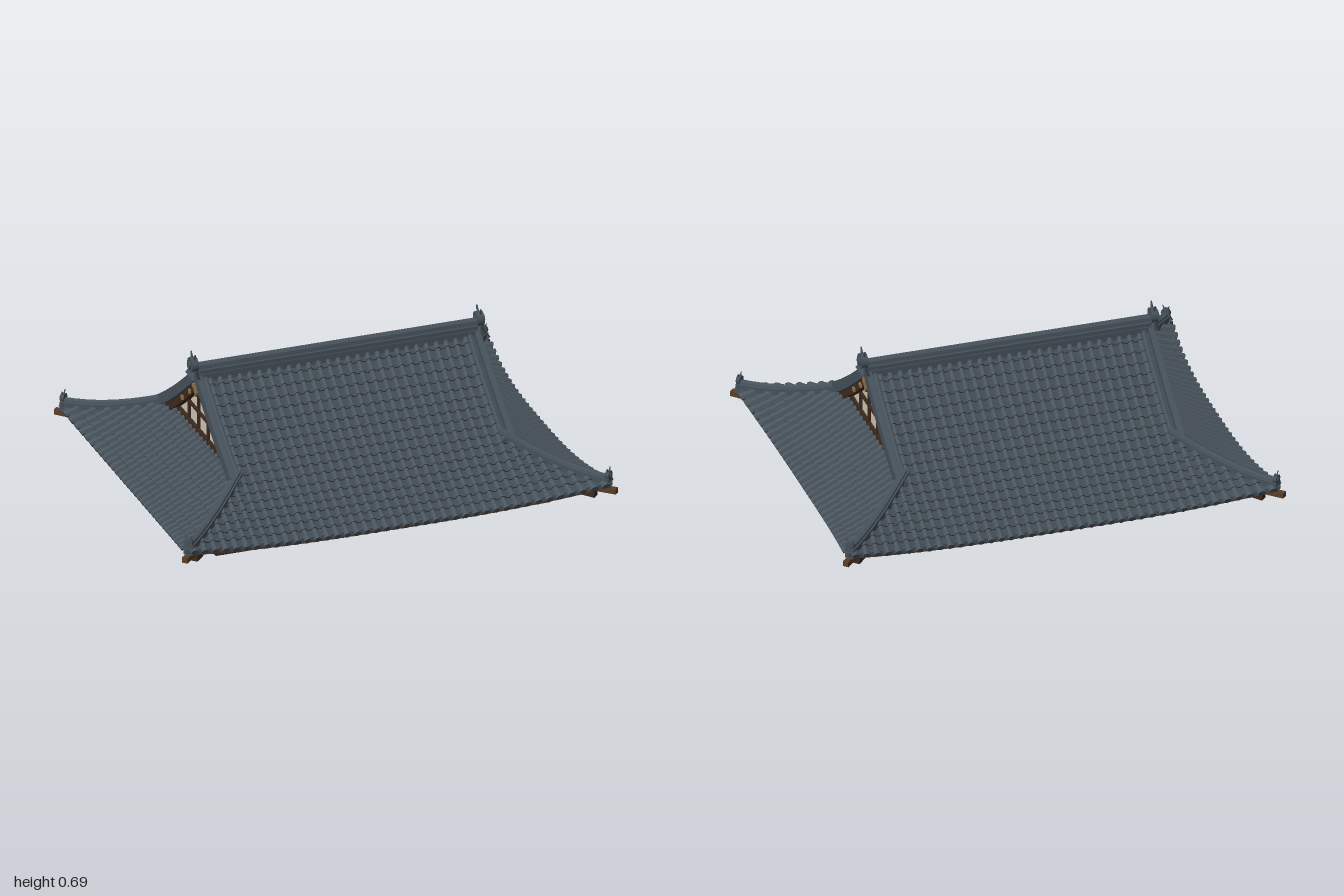
import * as THREE from 'three';
import { mergeGeometries } from 'three/addons/utils/BufferGeometryUtils.js';

const V = (x, y, z) => new THREE.Vector3(x, y, z);
const A = 0.93, B = 0.738;            // half width and half depth of the eaves
const SKIRT = 0.35, VERGE = 0.64;     // inset of the gable wall, gable edge in x
const height = d => 0.088 + 0.48 * d + 0.235 * d * d; // concave roof slope

const mat = (name, color, extra = {}) => new THREE.MeshStandardMaterial({ name, color, ...extra });

// Four roof faces: run along the eave (s), inset up the slope (d)
const faces = [0, 1, 2, 3].map(k => ({
  angle: k * Math.PI / 2, half: k % 2 ? A : B, wide: k % 2 ? B : A, side: k % 2 === 1,
}));

// Point on a roof face, raised by h, with the corners swept up and out
function onRoof(f, s, d, h = 0) {
  const o = f.half - d, c = Math.cos(f.angle), n = Math.sin(f.angle);
  const x = s * c + o * n, z = -s * n + o * c;
  const q = Math.pow(Math.abs(x * z) / (A * B), 3);
  return V(x + Math.sign(x) * 0.045 * q + 0.45 * h * n, height(d) + 0.06 * q + 0.88 * h,
    z + Math.sign(z) * 0.045 * q + 0.45 * h * c);
}
const topInset = (f, s) => f.side ? Math.min(SKIRT, f.wide - Math.abs(s))
  : Math.abs(s) <= 0.62 ? B : A - Math.abs(s);

// Skin over rows of points, flat shaded
function loft(rows) {
  const n = rows[0].length, pos = rows.flat().flatMap(p => [p.x, p.y, p.z]), index = [];
  for (let j = 0; j < rows.length - 1; j++) {
    for (let i = 0; i < n - 1; i++) {
      const a = j * n + i, b = a + 1, c = b + n, d = a + n;
      index.push(a, b, c, a, c, d);
    }
  }
  const g = new THREE.BufferGeometry();
  g.setAttribute('position', new THREE.Float32BufferAttribute(pos, 3));
  g.setIndex(index);
  const flat = g.toNonIndexed();
  flat.computeVertexNormals();
  return flat;
}

// Closed profile (left, over the top, right) carried along a path, with end caps
function sweep(path, profile) {
  const ring = [...profile, profile[0]];
  const rows = path.map((p, k) => {
    const dir = path[Math.min(k + 1, path.length - 1)].clone().sub(path[Math.max(k - 1, 0)]);
    const right = dir.cross(V(0, 1, 0)).normalize();
    return ring.map(([u, v]) => p.clone().addScaledVector(right, u).add(V(0, v, 0)));
  });
  const cap = r => {
    const m = r.slice(1).reduce((t, p) => t.add(p), V(0, 0, 0)).divideScalar(r.length - 1);
    return r.map(() => m);
  };
  return loft([cap(rows[0]), ...rows, cap(rows[rows.length - 1])]);
}
const rect = (w, low, high) => [[-w / 2, low], [-w / 2, high], [w / 2, high], [w / 2, low]];
const ridgeProfile = (w, h) => [[-w / 2, -0.02], [-w / 2, h * 0.6], [-w * 0.36, h * 0.62], [-w * 0.3, h * 0.85],
  [0, h], [w * 0.3, h * 0.85], [w * 0.36, h * 0.62], [w / 2, h * 0.6], [w / 2, -0.02]];
const steps = (n, a, b) => Array.from({ length: n + 1 }, (_, i) => a + (b - a) * i / n);
const box = (w, h, d, x, y, z, turn = 0) =>
  new THREE.BoxGeometry(w, h, d).translate(x, y, z).rotateY(turn).toNonIndexed().deleteAttribute('uv');

// Row of overlapping round cover tiles ending in a disc at the eave
function coverRow(f, s, top, out) {
  const n = Math.max(1, Math.round(top / 0.041)), rows = [];
  const arc = (r, d, lift) => steps(4, Math.PI, 0).map(t =>
    onRoof(f, s + Math.cos(t) * r, d, Math.sin(t) * r * 1.15 + lift));
  for (let k = 0; k < n; k++) {
    rows.push(arc(0.0145, top * k / n, 0.005), arc(0.0115, top * (k + 1) / n, 0.003));
  }
  out.push(loft(rows));
  const disc = (r, d) => steps(8, Math.PI, -Math.PI).map(t =>
    onRoof(f, s + Math.cos(t) * r, d, Math.sin(t) * r + 0.004));
  out.push(loft([disc(0, -0.012), disc(0.0155, -0.012), disc(0.0155, 0.012)]));
}

// Ridge-end ornament facing +x: flared foot, round face, two horns
function ornament(size, x, y, z, turn) {
  const parts = [
    new THREE.CylinderGeometry(0.034, 0.034, 0.03, 14).rotateZ(Math.PI / 2).translate(0, 0.045, 0),
    new THREE.CylinderGeometry(0.017, 0.017, 0.01, 10).rotateZ(Math.PI / 2).translate(0.018, 0.045, 0),
    new THREE.CylinderGeometry(0.035, 0.07, 0.035, 4, 1, false, Math.PI / 4).scale(0.35, 1, 1).translate(0, 0.008, 0),
  ];
  for (const m of [-1, 1]) {
    parts.push(new THREE.CylinderGeometry(0.003, 0.006, 0.032, 6).rotateX(m * 0.4).translate(0, 0.085, m * 0.02));
  }
  return mergeGeometries(parts.map(p => p.toNonIndexed())).scale(size, size, size).rotateY(turn).translate(x, y, z);
}

export function createModel() {
  const group = new THREE.Group();
  const panTile = mat('flat tile slate', 0x414b53, { side: THREE.DoubleSide });
  const coverTile = mat('round tile slate', 0x4a555e);
  const ridgeTile = mat('ridge slate', 0x46515a);
  const darkWood = mat('dark wood', 0x3d2a1e);
  const brownWood = mat('brown wood', 0x5a3e28);
  const tanWood = mat('tan wood', 0x92714b);
  const plaster = mat('plaster', 0xcfc7b6);
  const add = (name, geos, material, parent = group) => {
    const m = new THREE.Mesh(mergeGeometries(geos), material);
    m.name = name;
    parent.add(m);
  };

  // Roof tiles, eave edges and rafters for all four faces
  const pans = [], covers = [], edges = [], fascia = [], boards = [], rafters = [];
  for (const f of faces) {
    const limit = f.side ? SKIRT : B, n = Math.round(limit / 0.041);
    const span = d => !f.side && d > 0.31 ? VERGE : f.wide - d;
    const course = (d, h) => steps(28, -span(d), span(d)).map(s => onRoof(f, s, d, h));
    const rows = [];
    for (let k = 0; k < n; k++) {
      rows.push(course(limit * k / n, 0.006), course(limit * (k + 1) / n, 0));
    }
    pans.push(loft(rows));
    const count = Math.floor((f.wide - 0.02) / 0.045);
    for (let k = -count; k <= count; k++) {
      const s = k * 0.045, top = topInset(f, s);
      if (top > 0.02) coverRow(f, s, top, covers);
      const tail = Math.min(0.19, f.wide - Math.abs(s));
      if (tail > 0.03) rafters.push(sweep([onRoof(f, s, 0.012, -0.024), onRoof(f, s, tail, -0.024)], rect(0.016, -0.014, 0.006)));
    }
    const eave = d => steps(32, -f.wide + d, f.wide - d).map(s => onRoof(f, s, d));
    edges.push(sweep(eave(0.004), rect(0.014, -0.012, 0.008)));
    fascia.push(sweep(eave(0.014), rect(0.018, -0.026, -0.011)));
    boards.push(loft([0.19, 0.01].map(d => steps(28, -f.wide + d, f.wide - d).map(s => onRoof(f, s, d, -0.018)))));
  }
  add('flatTiles', pans, panTile);
  add('roundTiles', covers, coverTile);
  add('eaveTileEdge', edges, ridgeTile);
  add('eaveFascia', fascia, brownWood);
  add('eaveBoards', boards, darkWood);
  add('rafters', rafters, darkWood);

  // Main ridge
  add('mainRidge', [sweep([V(-VERGE, 0.565, 0), V(VERGE, 0.565, 0)], ridgeProfile(0.05, 0.078)),
    box(1.28, 0.008, 0.06, 0, 0.59, 0)], ridgeTile);

  // Corner ridges, their ornaments and the beams below them
  const hips = [], ornaments = [], hipBeams = [], lowBeams = [];
  for (const sx of [-1, 1]) {
    for (const sz of [-1, 1]) {
      const path = steps(10, 0.33, 0.005).map(d => {
        const p = onRoof(faces[0], A - d, d);
        return V(p.x * sx, p.y, p.z * sz);
      });
      hips.push(sweep(path, ridgeProfile(0.042, 0.038)));
      const turn = Math.atan2(-sz, sx);
      ornaments.push(ornament(0.6, sx * 0.962, 0.158, sz * 0.77, turn));
      hipBeams.push(sweep([V(sx * 0.72, 0.125, sz * 0.525), V(sx * 0.9, 0.1, sz * 0.705), V(sx * 0.991, 0.102, sz * 0.796)], rect(0.026, 0, 0.024)));
      lowBeams.push(sweep([V(sx * 0.74, 0.085, sz * 0.545), V(sx * 0.92, 0.068, sz * 0.725)], rect(0.032, 0, 0.032)));
    }
  }
  for (const sx of [-1, 1]) ornaments.push(ornament(1, sx * 0.655, 0.59, 0, sx > 0 ? 0 : Math.PI));
  add('cornerRidges', hips, ridgeTile);
  add('ridgeOrnaments', ornaments, ridgeTile);
  add('cornerBeams', hipBeams, brownWood);
  add('lowerCornerBeams', lowBeams, darkWood);

  // Gable ends: one at +x, its twin turned half round
  const slope = (x, m) => steps(10, 0.285, B).map(d => V(x, height(d), m * (B - d)));
  for (const turn of [0, Math.PI]) {
    const gable = new THREE.Group();
    gable.name = turn ? 'rightGable' : 'leftGable';
    gable.rotation.y = turn;
    const outline = steps(16, -0.45, 0.45).map(z => new THREE.Vector2(z, height(B - Math.abs(z)) - 0.015));
    add('gablePlaster', [new THREE.ExtrudeGeometry(new THREE.Shape(outline), { depth: 0.01, bevelEnabled: false })
      .rotateY(Math.PI / 2).translate(0.592, 0, 0)], plaster, gable);
    add('gableVergeTiles', [-1, 1].flatMap(m => [sweep(slope(0.638, m), rect(0.026, -0.012, 0.045)),
      sweep(slope(0.606, m), ridgeProfile(0.03, 0.03))]), ridgeTile, gable);
    add('bargeboards', [-1, 1].map(m => sweep(slope(0.62, m), rect(0.028, -0.052, -0.008))), darkWood, gable);
    const frame = [box(0.016, 0.03, 0.8, 0.606, 0.283, 0), box(0.012, 0.014, 0.46, 0.606, 0.375, 0)];
    for (const z of [-0.175, -0.06, 0.06, 0.175]) {
      const top = height(B - Math.abs(z)) - 0.02;
      frame.push(box(0.014, top - 0.28, 0.014, 0.606, (top + 0.28) / 2, z));
    }
    add('gableFrame', frame, darkWood, gable);
    const pendant = new THREE.Shape([[-0.045, 0.535], [-0.04, 0.512], [-0.02, 0.508], [0, 0.478], [0.02, 0.508],
      [0.04, 0.512], [0.045, 0.535]].map(p => new THREE.Vector2(...p)));
    add('gablePendant', [new THREE.ExtrudeGeometry(pendant, { depth: 0.012, bevelEnabled: false })
      .rotateY(Math.PI / 2).translate(0.634, 0, 0)], tanWood, gable);
    add('purlinEnds', [-0.18, -0.09, 0.09, 0.18].map(z =>
      box(0.02, 0.018, 0.02, 0.632, height(B - Math.abs(z)) - 0.034, z)), tanWood, gable);
    group.add(gable);
  }

  // Wall ring with sill, head beam and brackets on each side
  const walls = [], sills = [], heads = [], brackets = [];
  for (const f of faces) {
    const out = f.side ? 0.752 : 0.562, run = f.side ? 0.562 : 0.752;
    walls.push(box(run * 2, 0.148, 0.05, 0, 0.075, out - 0.025, f.angle));
    sills.push(box(run * 2 + 0.03, 0.029, 0.015, 0, 0.0145, out + 0.0075, f.angle));
    heads.push(box(run * 2 + 0.012, 0.03, 0.012, 0, 0.115, out + 0.004, f.angle));
    const n = f.side ? 2 : 3;
    for (let k = -n; k <= n; k++) {
      brackets.push(box(0.028, 0.02, 0.08, k * 0.19, 0.052, out + 0.04, f.angle),
        box(0.05, 0.022, 0.05, k * 0.19, 0.073, out + 0.025, f.angle));
    }
    for (const m of [-1, 1]) brackets.push(box(0.03, 0.022, 0.1, m * (run - 0.01), 0.066, out + 0.02, f.angle));
  }
  add('plasterWalls', walls, plaster);
  add('sillBeams', sills, darkWood);
  add('headBeams', heads, darkWood);
  add('eaveBrackets', brackets, darkWood);
  add('ceilingPanel', [box(1.41, 0.01, 1.03, 0, 0.014, 0)], tanWood);
  return group;
}
